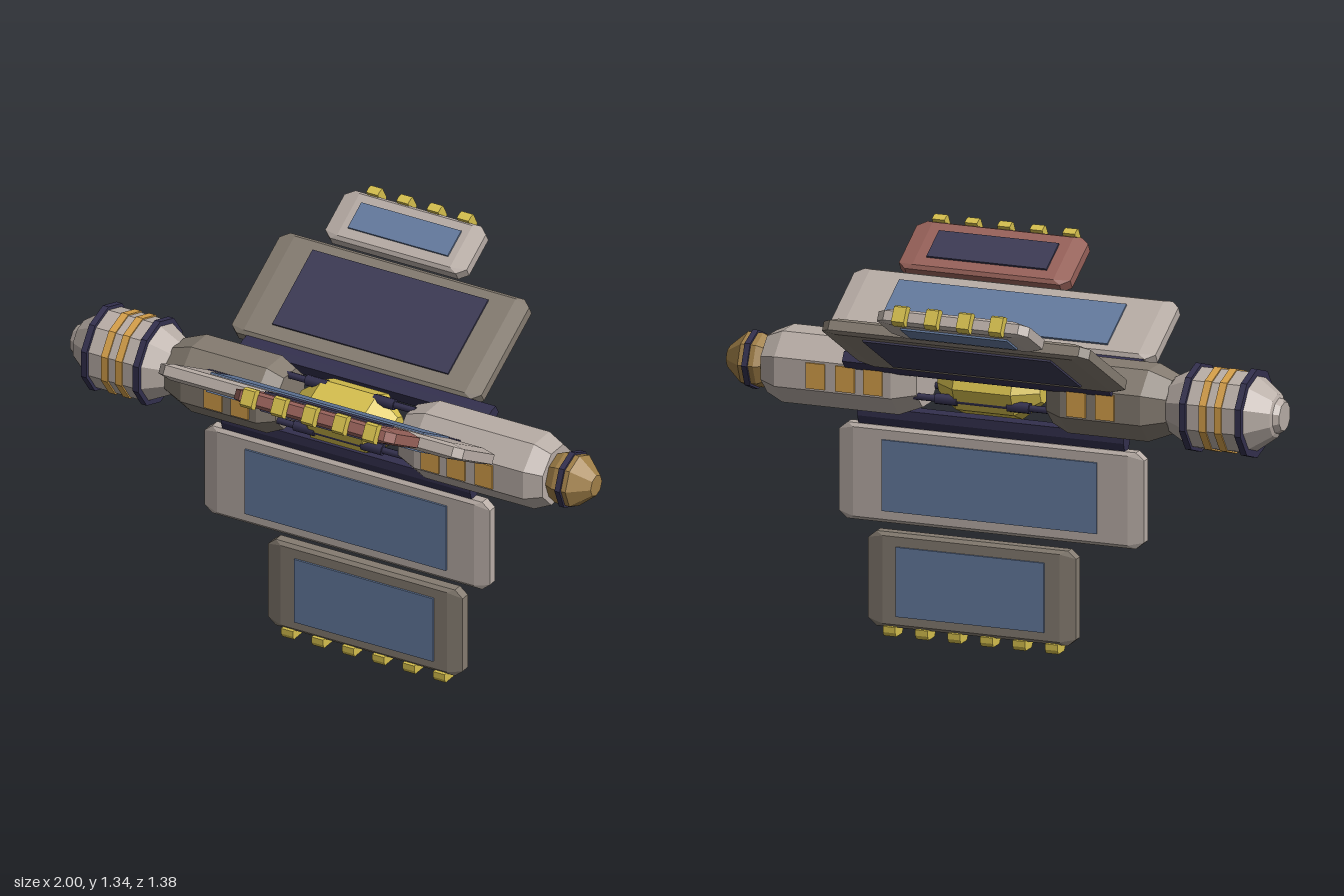
import * as THREE from 'three';
import { ConvexGeometry } from 'three/addons/geometries/ConvexGeometry.js';

const mat = (name, color) => {
  const m = new THREE.MeshStandardMaterial({ color });
  m.name = name;
  return m;
};

export function createModel() {
  const M = {
    light: mat('pale hull', 0xb8ada6),
    mid: mat('dark hull', 0x857c71),
    red: mat('rust red', 0x98625a),
    blue: mat('blue panel', 0x647a9e),
    dark: mat('dark panel', 0x3c3a54),
    navy: mat('navy metal', 0x33304e),
    yellow: mat('yellow', 0xd6c04e),
    orange: mat('amber window', 0xd6a04a),
    bronze: mat('bronze', 0xa07f48),
  };

  const model = new THREE.Group();
  model.name = 'spaceStation';
  const core = new THREE.Group();
  core.name = 'core';
  core.position.set(0, 0.896, 0.04);
  model.add(core);

  const add = (parent, name, geometry, material, x = 0, y = 0, z = 0) => {
    const mesh = new THREE.Mesh(geometry, material);
    mesh.name = name;
    mesh.position.set(x, y, z);
    parent.add(mesh);
    return mesh;
  };

  // Faceted solid of revolution along x; profile holds [x, radius] pairs
  const turned = (name, profile, sides, material, phase = Math.PI / 2) => {
    const pts = [[profile[0][0], 0], ...profile, [profile[profile.length - 1][0], 0]];
    const g = new THREE.LatheGeometry(pts.map(([x, r]) => new THREE.Vector2(r, x)), sides, phase)
      .rotateZ(-Math.PI / 2).toNonIndexed();
    g.computeVertexNormals();
    return add(core, name, g, material);
  };
  const ring = (name, x, width, radius, sides, material) =>
    turned(name, [[x - width / 2, radius], [x + width / 2, radius]], sides, material);

  // Rear drum with rings and amber bands
  turned('drum', [[-1, 0.05], [-0.98, 0.062], [-0.975, 0.075], [-0.885, 0.141],
    [-0.69, 0.141], [-0.605, 0.095]], 10, M.light);
  for (const x of [-0.89, -0.69]) ring('drumRing', x, 0.022, 0.153, 10, M.navy);
  for (const x of [-0.815, -0.76]) ring('drumBand', x, 0.026, 0.146, 10, M.orange);

  // Bronze nose with ring
  turned('nose', [[0.84, 0.075], [0.88, 0.094], [0.935, 0.094], [1, 0.038]], 8, M.bronze);
  ring('noseRing', 0.908, 0.02, 0.102, 8, M.navy);

  // Two octagonal hull modules with windows on both sides
  const hull = (name, x0, x1, material, windows) => {
    turned(name, [[x0, 0.1], [x0 + 0.08, 0.133], [x1 - 0.06, 0.133], [x1, 0.105]],
      8, material, Math.PI / 8);
    for (const x of windows)
      for (const s of [1, -1])
        add(core, 'hullWindow', new THREE.BoxGeometry(0.068, 0.088, 0.009), M.orange, x, 0, s * 0.125);
  };
  hull('rightHull', -0.61, -0.18, M.mid, [-0.403, -0.3]);
  hull('leftHull', 0.29, 0.85, M.light, [0.433, 0.533, 0.64]);

  // Yellow reactor between the hulls
  turned('reactor', [[-0.135, 0.045], [-0.055, 0.108], [0.155, 0.108], [0.235, 0.045]], 8, M.yellow);

  // Three connecting rods with sleeves
  for (let i = 0; i < 3; i++) {
    const a = Math.PI / 2 + i * Math.PI * 2 / 3;
    const y = 0.09 * Math.sin(a), z = 0.09 * Math.cos(a);
    const rod = (name, x, length, r) => add(core, name,
      new THREE.CylinderGeometry(r, r, length, 8).rotateZ(Math.PI / 2), M.navy, x, y, z);
    rod('rod', 0.055, 0.5, 0.012);
    rod('rodSleeve', -0.075, 0.08, 0.019);
    rod('rodSleeve', 0.185, 0.08, 0.019);
  }

  // Slab with chamfered corners and bevelled faces: x along hull, y outward
  const slab = (hx, hy) => {
    const pts = [];
    for (const sx of [1, -1]) for (const sy of [1, -1]) for (const sz of [1, -1])
      for (const [x, y, z] of [[hx, hy - 0.025, 0.017], [hx - 0.03, hy, 0.017],
        [hx - 0.055, hy - 0.012, 0.0275]])
        pts.push(new THREE.Vector3(sx * x, sy * y, sz * z));
    return new ConvexGeometry(pts);
  };

  // Panel with a thin inset plate on both faces; ranges are [x0, x1, r0, r1]
  const panel = (arm, name, [x0, x1, r0, r1], material, [u0, u1, v0, v1], plate) => {
    add(arm, name, slab((x1 - x0) / 2, (r1 - r0) / 2), material, (x0 + x1) / 2, (r0 + r1) / 2);
    for (const s of [1, -1])
      add(arm, name + 'Plate', new THREE.BoxGeometry(u1 - u0, v1 - v0, 0.008), plate,
        (u0 + u1) / 2, (v0 + v1) / 2, s * 0.0302);
  };

  // Clip and spine profiles, drawn across the arm and extruded along x
  const bar = (outline, length) => new THREE.ExtrudeGeometry(
    new THREE.Shape(outline.map(([z, y]) => new THREE.Vector2(z, y))),
    { depth: length, bevelEnabled: false }).translate(0, 0, -length / 2).rotateY(Math.PI / 2);
  const clip = bar([[-0.034, -0.004], [0.034, -0.004], [0.034, 0.016], [0.026, 0.03],
    [-0.026, 0.03], [-0.034, 0.016]], 0.045);
  const spine = bar([[-0.028, 0.115], [0.028, 0.115], [0.028, 0.147], [0.018, 0.175],
    [-0.018, 0.175], [-0.028, 0.147]], 0.96);

  // Three arms: spine, inner panel, outer panel, row of clips
  const arms = [
    { name: 'lowerArm', angle: Math.PI,
      inner: [[-0.5, 0.6, 0.176, 0.508], M.light, [-0.335, 0.44, 0.221, 0.466], M.blue],
      outer: [[-0.255, 0.495, 0.54, 0.867], M.mid, [-0.145, 0.39, 0.586, 0.826], M.blue],
      clips: [-0.172, 6, 0.117] },
    { name: 'frontArm', angle: Math.PI / 3,
      inner: [[-0.465, 0.705, 0.176, 0.455], M.light, [-0.29, 0.53, 0.213, 0.405], M.blue],
      outer: [[-0.05, 0.568, 0.474, 0.702], M.red, [0.042, 0.475, 0.525, 0.65], M.dark],
      clips: [0.025, 5, 0.1175] },
    { name: 'backArm', angle: -Math.PI / 3,
      inner: [[-0.5, 0.462, 0.174, 0.588], M.mid, [-0.357, 0.32, 0.234, 0.542], M.dark],
      outer: [[-0.36, 0.185, 0.61, 0.807], M.light, [-0.28, 0.105, 0.658, 0.762], M.blue],
      clips: [-0.26, 4, 0.1165] },
  ];
  for (const { name, angle, inner, outer, clips: [start, count, step] } of arms) {
    const arm = new THREE.Group();
    arm.name = name;
    arm.rotation.x = angle;
    core.add(arm);
    add(arm, 'spine', spine, M.navy, 0.05);
    panel(arm, 'innerPanel', ...inner);
    panel(arm, 'outerPanel', ...outer);
    for (let i = 0; i < count; i++)
      add(arm, 'clip', clip, M.yellow, start + i * step, outer[0][3]);
  }
  return model;
}
